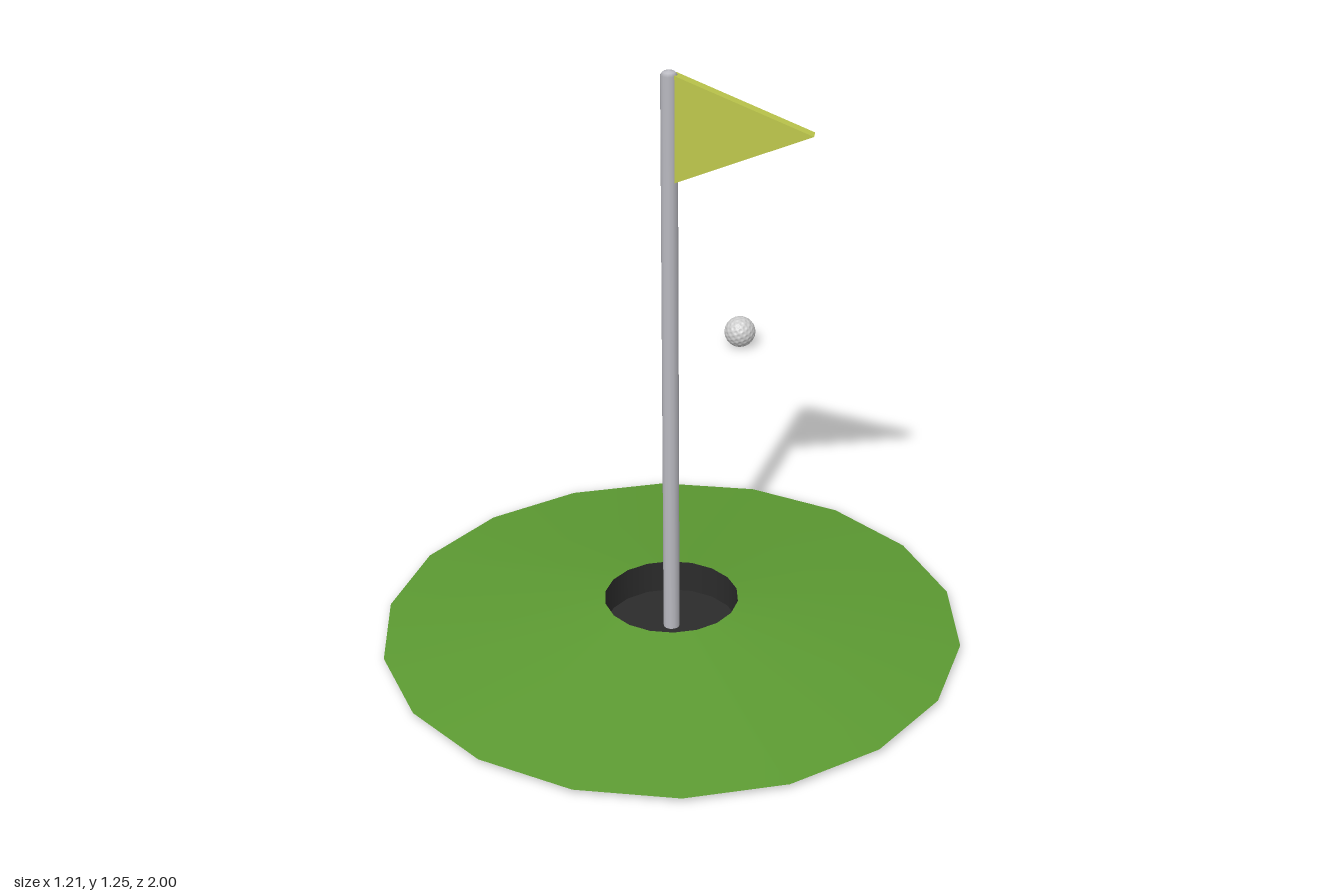
import * as THREE from 'three';
import { mergeVertices } from 'three/addons/utils/BufferGeometryUtils.js';

const SIDES = 18;
const HOLE_R = 0.14, GREEN_R = 0.605, CUP_Y = 0.01, TOP_Y = 0.08;

const mat = (color, extra = {}) => new THREE.MeshStandardMaterial({ color, ...extra });

function part(name, geometry, material) {
  const mesh = new THREE.Mesh(geometry, material);
  mesh.name = name;
  return mesh;
}

// Lathe from [radius, height] pairs, with a corner on the x axis
function lathe(points, sides) {
  const profile = points.map(([r, y]) => new THREE.Vector2(r, y));
  return new THREE.LatheGeometry(profile, sides, Math.PI / 2);
}

// Sphere with evenly spread round dimples
function dimpledBall(radius, dimples) {
  let geo = new THREE.IcosahedronGeometry(1, 24);
  geo.deleteAttribute('normal');
  geo.deleteAttribute('uv');
  geo = mergeVertices(geo, 1e-5);
  const centres = [];
  for (let i = 0; i < dimples; i++) {
    const y = 1 - (2 * (i + 0.5)) / dimples;
    const a = i * Math.PI * (3 - Math.sqrt(5));
    const r = Math.sqrt(1 - y * y);
    centres.push(new THREE.Vector3(r * Math.cos(a), y, r * Math.sin(a)));
  }
  const size = 1.5 / Math.sqrt(dimples);
  const pos = geo.attributes.position;
  const v = new THREE.Vector3();
  for (let i = 0; i < pos.count; i++) {
    v.fromBufferAttribute(pos, i).normalize();
    const d = Math.min(...centres.map((c) => c.distanceTo(v)));
    const dip = Math.max(0, 1 - (d / size) ** 2) * 0.04;
    v.multiplyScalar(radius * (1 - dip));
    pos.setXYZ(i, v.x, v.y, v.z);
  }
  geo.computeVertexNormals();
  return geo;
}

export function createModel() {
  const model = new THREE.Group();
  model.name = 'golfHole';

  // Everything around the hole shares one axis
  const hole = new THREE.Group();
  hole.name = 'hole';
  hole.position.z = 0.4;
  model.add(hole);

  // Sloping green, an open shell with a round opening
  hole.add(part('green', lathe([[GREEN_R, 0.01], [HOLE_R, TOP_Y]], SIDES),
    mat(0x5c9a32, { side: THREE.DoubleSide })));

  // Cup: wall and floor
  const cupMat = mat(0x2b2b2b, { side: THREE.DoubleSide });
  hole.add(part('cupWall', lathe([[HOLE_R, CUP_Y], [HOLE_R, TOP_Y]], SIDES), cupMat));
  const floor = part('cupFloor', new THREE.CircleGeometry(HOLE_R, SIDES), cupMat);
  floor.rotation.x = -Math.PI / 2;
  floor.position.y = CUP_Y;
  hole.add(floor);

  // Pole with a low domed tip
  hole.add(part('pole', lathe([
    [0, 0.01], [0.017, 0.01], [0.017, 0.01], [0.017, 1.238], [0.012, 1.244], [0, 1.247],
  ], 12), mat(0xb9b9c0)));

  // Triangular pennant
  const outline = new THREE.Shape([
    new THREE.Vector2(0.012, 1.02), new THREE.Vector2(0.28, 1.13), new THREE.Vector2(0.012, 1.24),
  ]);
  const depth = 0.024;
  const flag = part('flag',
    new THREE.ExtrudeGeometry(outline, { depth, bevelEnabled: false }), mat(0xbec84c));
  flag.position.z = -depth / 2;
  hole.add(flag);

  // Ball lying off the green
  const ball = part('ball', dimpledBall(0.04, 120), mat(0xcccccc));
  ball.position.set(-0.016, 0.04, -0.96);
  model.add(ball);

  return model;
}
